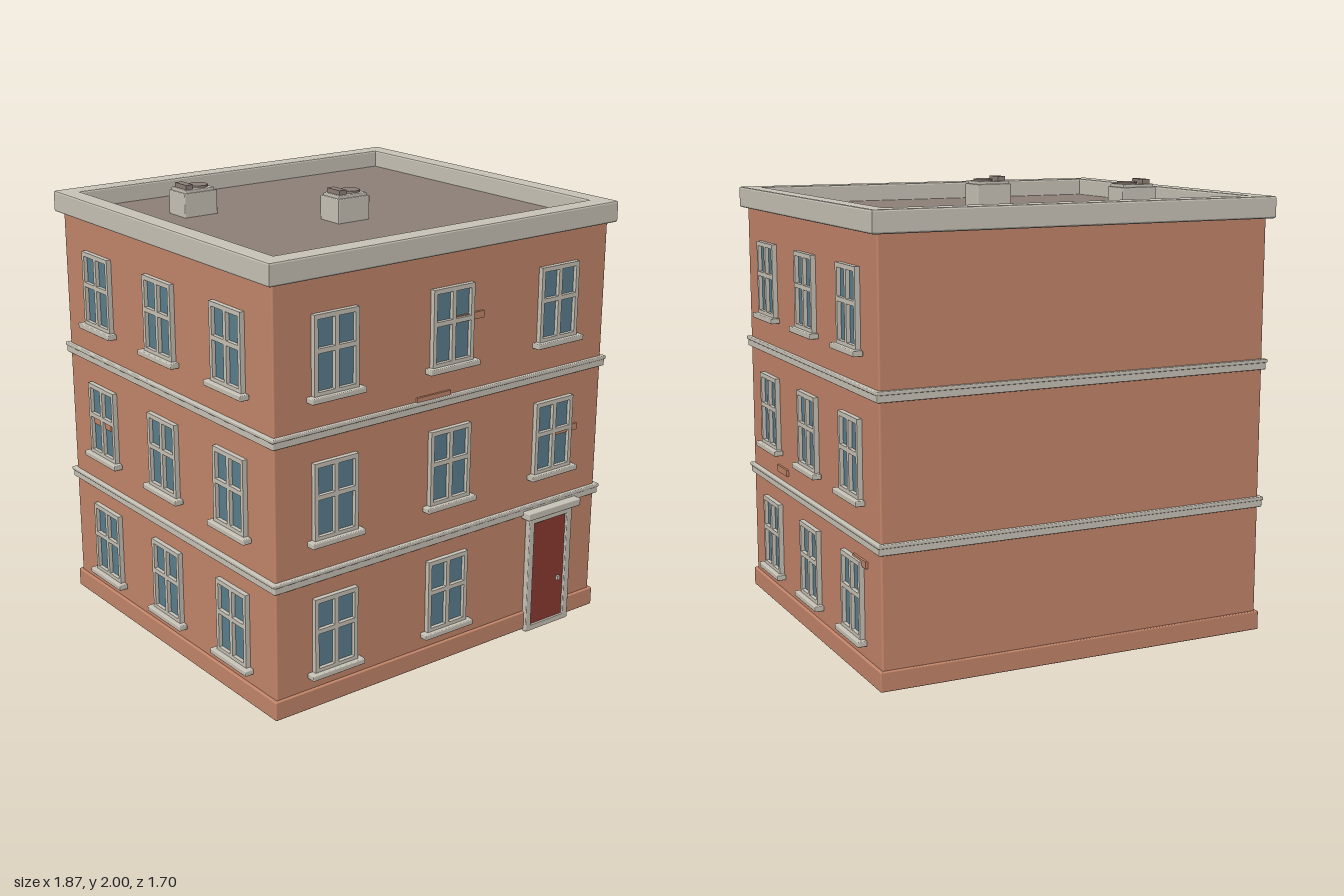
import * as THREE from 'three';
import { RoundedBoxGeometry } from 'three/addons/geometries/RoundedBoxGeometry.js';

const mat = (name, color) => {
  const m = new THREE.MeshStandardMaterial({ color });
  m.name = name;
  return m;
};

// Rectangular outline, usable as a shape or a hole
function rect(Type, x0, y0, x1, y1) {
  const p = new Type();
  p.moveTo(x0, y0);
  p.lineTo(x1, y0);
  p.lineTo(x1, y1);
  p.lineTo(x0, y1);
  p.closePath();
  return p;
}

export function createModel() {
  const brick = mat('brick', 0xc4866a);
  const trim = mat('stone trim', 0xc9c4b8);
  const glass = mat('window glass', 0x5b7f8f);
  const red = mat('door paint', 0x8b3a2f);
  const roofing = mat('roofing', 0x8e8078);

  const model = new THREE.Group();
  model.name = 'apartmentBuilding';
  const HX = 0.895, HZ = 0.81, CZ = -0.015;
  const building = new THREE.Group();
  building.name = 'building';
  building.position.z = CZ;
  model.add(building);

  const add = (parent, name, geo, material, x = 0, y = 0, z = 0) => {
    const m = new THREE.Mesh(geo, material);
    m.name = name;
    m.position.set(x, y, z);
    parent.add(m);
    return m;
  };
  // Box given by its extents; r > 0 softens the edges
  const box = (parent, name, material, [x0, x1], [y0, y1], [z0, z1], r = 0) => {
    const s = [x1 - x0, y1 - y0, z1 - z0];
    const geo = r ? new RoundedBoxGeometry(...s, 2, r) : new THREE.BoxGeometry(...s);
    return add(parent, name, geo, material, (x0 + x1) / 2, (y0 + y1) / 2, (z0 + z1) / 2);
  };
  // Layer running around the whole building, standing out from the walls
  const layer = (name, material, out, y, r) =>
    box(building, name, material, [-HX - out, HX + out], y, [-HZ - out, HZ + out], r);

  // Main masses
  layer('walls', brick, 0, [0.03, 1.855], 0.008);
  layer('plinth', brick, 0.013, [0.01, 0.095], 0.005);
  for (const y of [0.575, 1.19]) {
    layer('floorBand', trim, 0.013, [y, y + 0.036], 0.004);
    layer('floorBandCap', trim, 0.018, [y + 0.03, y + 0.046], 0.004);
  }

  // Parapet ring and sunken roof
  const b = 0.008;
  const ring = rect(THREE.Shape, -0.925 + b, -0.8375 + b, 0.925 - b, 0.8375 - b);
  ring.holes.push(rect(THREE.Path, -0.84 - b, -0.7475 - b, 0.84 + b, 0.7475 + b));
  const ringGeo = new THREE.ExtrudeGeometry(ring, {
    depth: 0.095 - 2 * b, bevelEnabled: true, bevelSize: b, bevelThickness: b, bevelSegments: 2,
  });
  ringGeo.rotateX(-Math.PI / 2);
  add(building, 'parapet', ringGeo, trim, 0, 1.845 + b, 0);
  box(building, 'roof', roofing, [-0.845, 0.845], [1.84, 1.862], [-0.755, 0.755]);

  // Rooftop ventilation units
  for (const [x, z] of [[-0.49, -0.38], [-0.0275, 0.115]]) {
    const unit = new THREE.Group();
    unit.name = 'roofVent';
    unit.position.set(x, 0, z - CZ);
    building.add(unit);
    box(unit, 'ventBox', trim, [-0.084, 0.084], [1.855, 1.967], [-0.066, 0.066], 0.004);
    box(unit, 'ventLid', trim, [-0.075, 0.075], [1.96, 1.98], [-0.058, 0.058], 0.004);
    add(unit, 'ventFan', new THREE.CylinderGeometry(0.044, 0.044, 0.016, 20), roofing, 0.026, 1.981, 0);
    box(unit, 'ventSlot', roofing, [-0.063, -0.027], [1.975, 2], [-0.045, 0.045]);
  }

  // Window frame with four panes cut out
  const frame = rect(THREE.Shape, -0.11, 0.02, 0.11, 0.355);
  for (const [x0, x1] of [[-0.092, -0.01], [0.01, 0.092]])
    for (const [y0, y1] of [[0.04, 0.197], [0.217, 0.335]])
      frame.holes.push(rect(THREE.Path, x0, y0, x1, y1));
  const frameGeo = new THREE.ExtrudeGeometry(frame, { depth: 0.022, bevelEnabled: false });

  const window = (wall, x, y) => {
    const w = new THREE.Group();
    w.name = 'window';
    w.position.set(x, y, 0);
    wall.add(w);
    add(w, 'windowFrame', frameGeo, trim);
    box(w, 'windowGlass', glass, [-0.1, 0.1], [0.03, 0.345], [0, 0.005]);
    box(w, 'windowSill', trim, [-0.135, 0.135], [0, 0.024], [0, 0.042], 0.004);
  };
  const looseBrick = (wall, x0, x1, y) =>
    box(wall, 'raisedBrick', brick, [x0, x1], [y, y + 0.03], [-0.005, 0.01]);

  // Wall groups face outwards along their own +z
  const makeWall = (name, x, z, turn) => {
    const g = new THREE.Group();
    g.name = name;
    g.position.set(x, 0, z);
    g.rotation.y = turn;
    building.add(g);
    return g;
  };
  const front = makeWall('frontWall', 0, HZ, 0);
  const right = makeWall('positiveXWall', HX, 0, Math.PI / 2);
  const left = makeWall('negativeXWall', -HX, 0, -Math.PI / 2);

  [0.148, 0.738, 1.348].forEach((y, floor) => {
    for (const i of [-1, 0, 1]) {
      if (floor > 0 || i < 1) window(front, i * 0.603, y);
      for (const wall of [right, left]) window(wall, i * 0.513, y);
    }
  });

  // Slightly raised bricks
  looseBrick(front, 0.0, 0.175, 1.54);
  looseBrick(front, -0.18, 0.0, 1.225);
  looseBrick(front, 0.62, 0.755, 0.918);
  looseBrick(front, -0.705, -0.61, 0.728);
  looseBrick(right, -0.44, -0.305, 0.657);
  looseBrick(right, 0.52, 0.665, 0.482);
  looseBrick(left, -0.6, -0.45, 0.9);

  // Entrance: surround, lintel, leaf and knob
  const door = new THREE.Group();
  door.name = 'entrance';
  door.position.x = 0.604;
  front.add(door);
  for (const s of [-1, 1])
    box(door, 'doorJamb', trim, [s * 0.116 - 0.016, s * 0.116 + 0.016], [0, 0.56], [0, 0.028], 0.004);
  box(door, 'doorHead', trim, [-0.13, 0.13], [0.527, 0.562], [0, 0.028], 0.004);
  box(door, 'doorLintel', trim, [-0.16, 0.16], [0.56, 0.595], [0, 0.052], 0.005);
  box(door, 'doorThreshold', trim, [-0.12, 0.12], [0, 0.025], [0, 0.028]);
  box(door, 'doorLeaf', red, [-0.105, 0.105], [0.02, 0.535], [0, 0.017]);
  box(door, 'doorKnob', trim, [0.058, 0.074], [0.205, 0.225], [0.01, 0.028]);

  return model;
}
